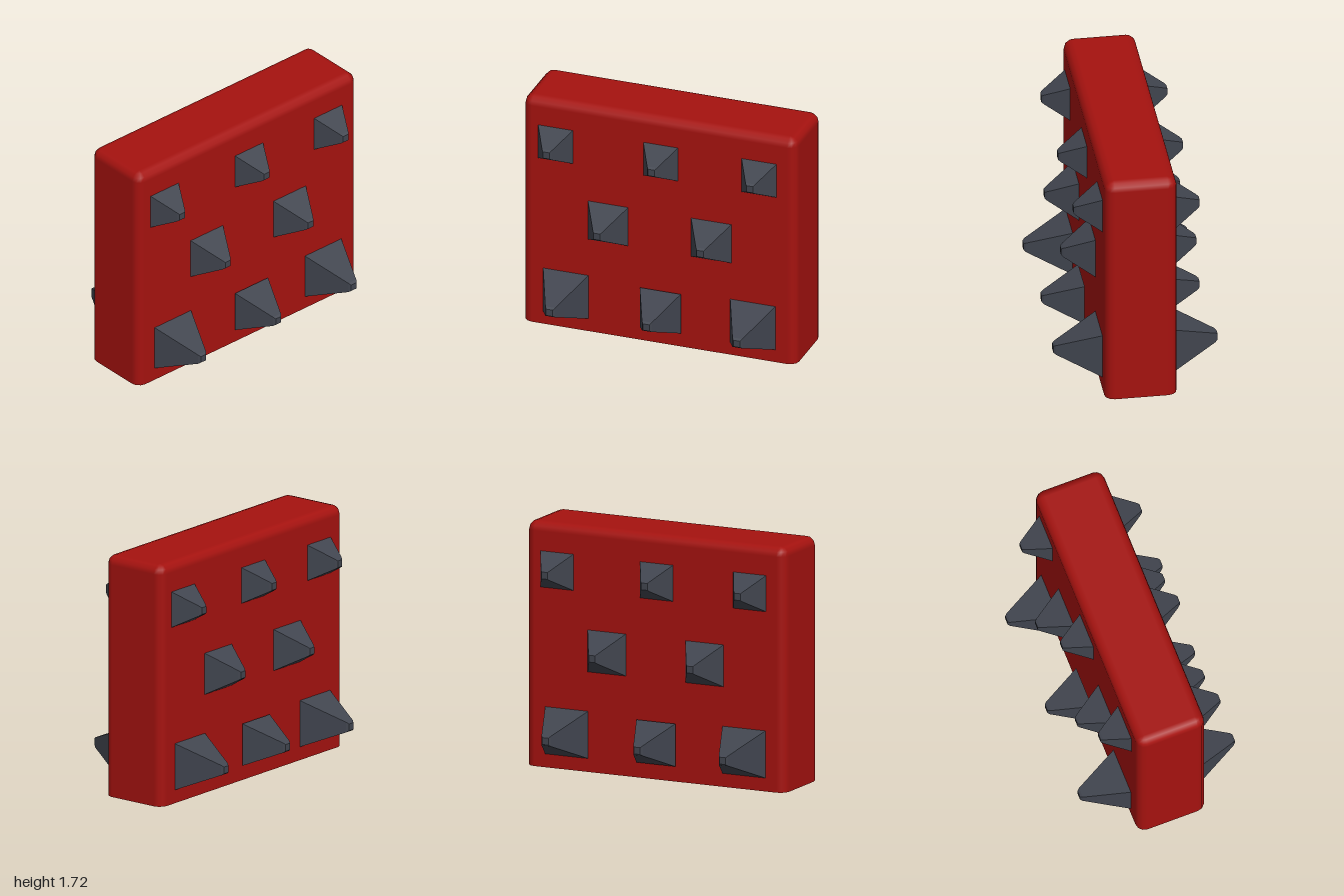
import * as THREE from 'three';

const HALF_W = 1, HALF_D = 0.25, HEIGHT = 1.72, RADIUS = 0.065, STEPS = 3;

// Block open at the bottom, with rounded upright corners and top edge
function shellGeometry() {
  const pos = [], nor = [], idx = [];
  const corners = [[1, 1], [-1, 1], [-1, -1], [1, -1]];
  const perRing = 4 * (STEPS + 1);
  const addRing = (y, tilt) => {
    corners.forEach(([sx, sz], c) => {
      for (let i = 0; i <= STEPS; i++) {
        const a = (c + i / STEPS) * Math.PI / 2;
        const n = [Math.cos(a) * Math.cos(tilt), Math.sin(tilt), Math.sin(a) * Math.cos(tilt)];
        pos.push(sx * (HALF_W - RADIUS) + RADIUS * n[0], y + RADIUS * n[1], sz * (HALF_D - RADIUS) + RADIUS * n[2]);
        nor.push(...n);
      }
    });
  };
  addRing(0, 0);
  for (let j = 0; j <= STEPS; j++) addRing(HEIGHT - RADIUS, j / STEPS * Math.PI / 2);
  for (let r = 0; r <= STEPS; r++) {
    for (let i = 0; i < perRing; i++) {
      const a = r * perRing + i, b = r * perRing + (i + 1) % perRing;
      idx.push(a, a + perRing, b, b, a + perRing, b + perRing);
    }
  }
  // Flat top
  const top = (STEPS + 1) * perRing;
  const [p, q, s, t] = [0, 1, 2, 3].map(c => top + c * (STEPS + 1));
  idx.push(p, s, q, p, t, s);
  const g = new THREE.BufferGeometry();
  g.setAttribute('position', new THREE.Float32BufferAttribute(pos, 3));
  g.setAttribute('normal', new THREE.Float32BufferAttribute(nor, 3));
  g.setIndex(idx);
  return g;
}

// Four-sided spike pointing along +z, with a small blunted tip
function spikeGeometry(half, base, tip) {
  const k = Math.SQRT2;
  const profile = [[half, base], [0.036, tip - 0.016], [0.024, tip], [0, tip]]
    .map(([r, y]) => new THREE.Vector2(r * k, y));
  return new THREE.LatheGeometry(profile, 4, Math.PI / 4).rotateX(Math.PI / 2);
}

export function createModel() {
  const model = new THREE.Group();
  const red = new THREE.MeshStandardMaterial({ color: 0xa5120f, side: THREE.DoubleSide });
  const steel = new THREE.MeshStandardMaterial({ color: 0x41454f, flatShading: true, side: THREE.DoubleSide });

  const block = new THREE.Mesh(shellGeometry(), red);
  block.name = 'block';
  model.add(block);

  // Rows of spikes: x positions, height, half width, base and tip depth
  const rows = [
    { xs: [-0.76, 0.01, 0.73], y: 1.39, half: 0.13, base: 0.245, tip: 0.435 },
    { xs: [-0.375, 0.38], y: 0.85, half: 0.15, base: 0.245, tip: 0.47 },
    { xs: [-0.685, 0.685], y: 0.26, half: 0.17, base: 0.24, tip: 0.57 },
    { xs: [0.015], y: 0.26, half: 0.15, base: 0.27, tip: 0.55 },
  ];
  // The back set is the front set turned half way round
  for (const [name, turn] of [['frontSpikes', 0], ['backSpikes', Math.PI]]) {
    const set = new THREE.Group();
    set.name = name;
    set.rotation.y = turn;
    for (const { xs, y, half, base, tip } of rows) {
      const geometry = spikeGeometry(half, base, tip);
      for (const x of xs) {
        const spike = new THREE.Mesh(geometry, steel);
        spike.name = 'spike';
        spike.position.set(x, y, 0);
        set.add(spike);
      }
    }
    model.add(set);
  }
  return model;
}
